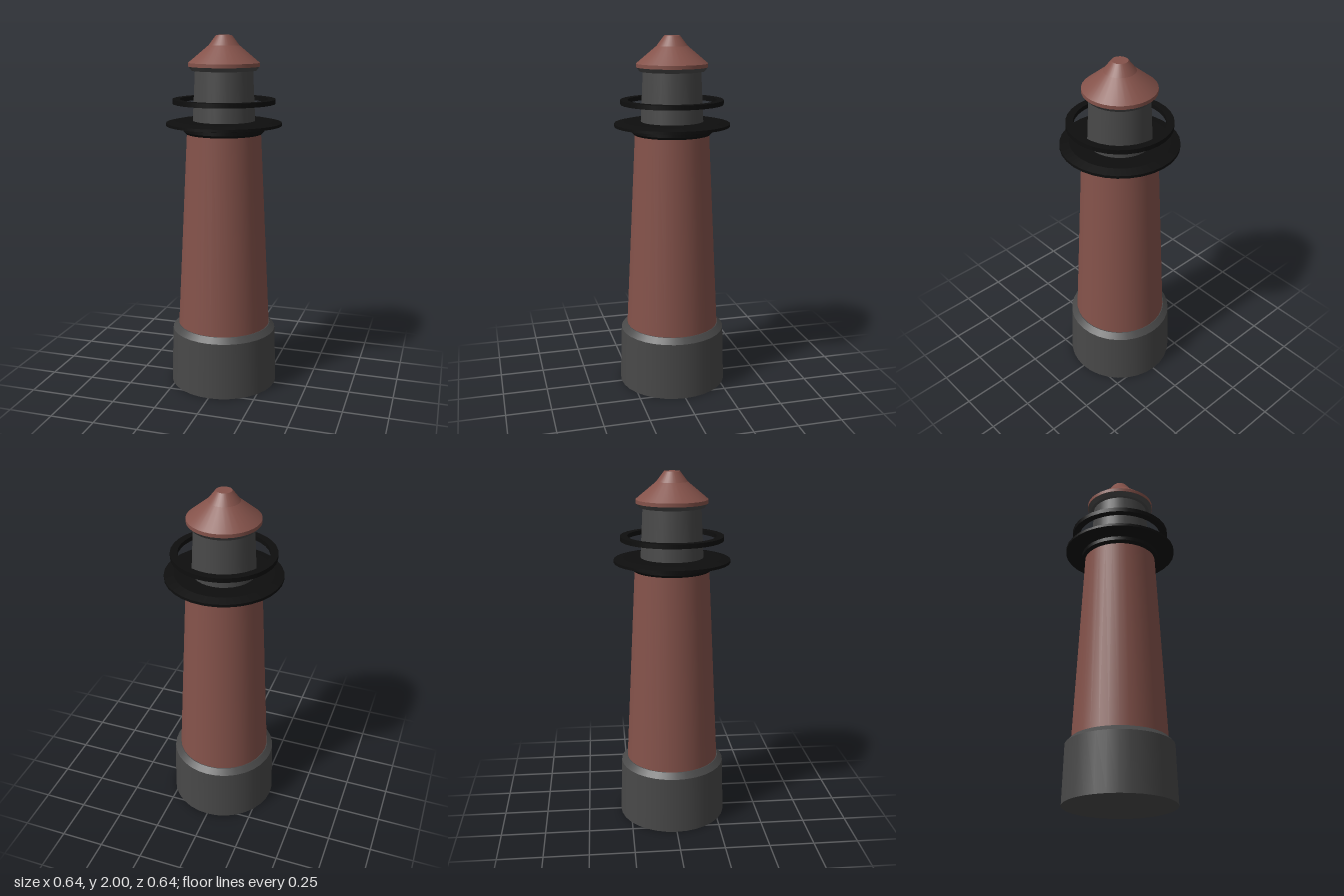
import * as THREE from 'three';
import { mergeGeometries } from 'three/addons/utils/BufferGeometryUtils.js';

const SIDES = 32;
const red = new THREE.MeshStandardMaterial({ color: 0x84524a });
const grey = new THREE.MeshStandardMaterial({ color: 0x484848 });
const black = new THREE.MeshStandardMaterial({ color: 0x0e0e0e });

// Turns a bottom-to-top [radius, height] profile; each section is smooth around
// the axis and meets the next one in a sharp edge.
function turned(name, material, profile) {
  const bands = [];
  for (let i = 0; i < profile.length - 1; i++) {
    const pair = [profile[i], profile[i + 1]].map(([r, y]) => new THREE.Vector2(r, y));
    bands.push(new THREE.LatheGeometry(pair, SIDES));
  }
  const mesh = new THREE.Mesh(mergeGeometries(bands), material);
  mesh.name = name;
  return mesh;
}

export function createModel() {
  const lighthouse = new THREE.Group();
  lighthouse.name = 'lighthouse';

  lighthouse.add(
    // Plinth with a bevelled upper edge
    turned('base', grey, [[0, 0], [0.308, 0], [0.298, 0.325], [0.268, 0.355], [0, 0.355]]),
    // Tapering shaft
    turned('tower', red, [[0.264, 0.35], [0.207, 1.47]]),
    // Walkway on a short collar
    turned('gallery', black, [
      [0, 1.465], [0.213, 1.465], [0.225, 1.478], [0.225, 1.5], [0.27, 1.503],
      [0.322, 1.511], [0.322, 1.526], [0.27, 1.537], [0, 1.537],
    ]),
    // Square-section ring around the walkway
    turned('railing', black, [
      [0.245, 1.631], [0.285, 1.631], [0.285, 1.656], [0.245, 1.656], [0.245, 1.631],
    ]),
    // Lamp room, flaring out under the eaves
    turned('lanternRoom', grey, [[0.174, 1.53], [0.16, 1.81], [0.178, 1.81], [0.195, 1.832]]),
    // Concave roof with a flat tip
    turned('roof', red, [
      [0, 1.832], [0.197, 1.832], [0.197, 1.852], [0.085, 1.945], [0.043, 2], [0, 2],
    ]),
  );
  return lighthouse;
}
